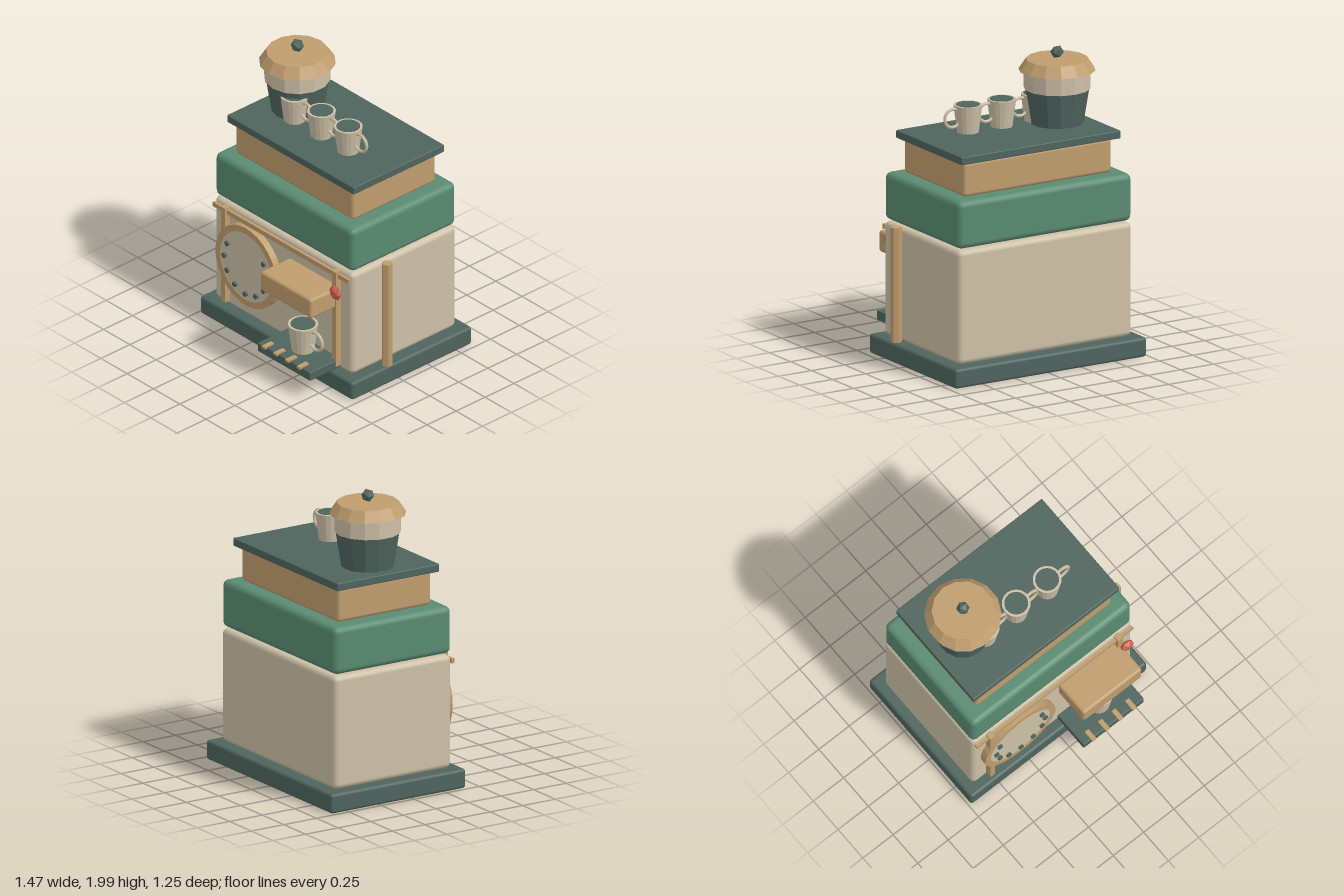
import * as THREE from 'three';
import { RoundedBoxGeometry } from 'three/addons/geometries/RoundedBoxGeometry.js';
import { toCreasedNormals } from 'three/addons/utils/BufferGeometryUtils.js';

const paint = (name, color) => {
  const m = new THREE.MeshStandardMaterial({ color });
  m.name = name;
  return m;
};

export function createModel() {
  const slate = paint('slate', 0x4f645e);
  const cream = paint('cream', 0xcdc0a7);
  const tan = paint('tan', 0xbf9d6e);
  const green = paint('green', 0x5a8a72);
  const red = paint('red', 0xcf6252);

  const model = new THREE.Group();
  model.name = 'espressoMachine';

  const add = (name, geometry, material, x = 0, y = 0, z = 0, parent = model) => {
    const mesh = new THREE.Mesh(geometry, material);
    mesh.name = name;
    mesh.position.set(x, y, z);
    parent.add(mesh);
    return mesh;
  };
  // Box given by its limits; r > 0 rounds the edges
  const block = (name, material, [x0, x1], [y0, y1], [z0, z1], r = 0) => {
    const size = [x1 - x0, y1 - y0, z1 - z0];
    const geometry = r ? new RoundedBoxGeometry(...size, 2, r) : new THREE.BoxGeometry(...size);
    return add(name, geometry, material, (x0 + x1) / 2, (y0 + y1) / 2, (z0 + z1) / 2);
  };
  const faceted = (top, bottom, height, sides) =>
    toCreasedNormals(new THREE.CylinderGeometry(top, bottom, height, sides), 0.1);

  // Stacked housing
  block('base', slate, [-0.735, 0.715], [0, 0.13], [-0.625, 0.41], 0.02);
  block('body', cream, [-0.67, 0.645], [0.13, 0.885], [-0.555, 0.345], 0.035);
  block('upperBody', green, [-0.67, 0.645], [0.895, 1.21], [-0.555, 0.345], 0.04);
  block('woodCrown', tan, [-0.57, 0.55], [1.21, 1.44], [-0.465, 0.255], 0.025);
  block('cupShelf', slate, [-0.615, 0.59], [1.437, 1.49], [-0.5, 0.285], 0.007);

  // Front frame
  for (const x of [-0.54, 0.515])
    block('framePost', tan, [x - 0.02, x + 0.02], [0.165, 0.87], [0.338, 0.387]);
  block('frameRail', tan, [-0.655, 0.635], [0.822, 0.855], [0.351, 0.371]);

  // Dial with bezel and markers
  const dial = new THREE.Group();
  dial.name = 'dial';
  dial.position.set(-0.315, 0.53, 0);
  model.add(dial);
  const bezelShape = new THREE.Shape().absarc(0, 0, 0.29, 0, Math.PI * 2);
  bezelShape.holes.push(new THREE.Path().absarc(0, 0, 0.245, 0, Math.PI * 2, true));
  const bezel = new THREE.ExtrudeGeometry(bezelShape, { depth: 0.06, bevelEnabled: false, curveSegments: 16 });
  add('dialBezel', bezel, tan, 0, 0, 0.333, dial);
  const face = new THREE.CylinderGeometry(0.25, 0.25, 0.055, 32).rotateX(Math.PI / 2);
  add('dialFace', face, cream, 0, 0, 0.363, dial);
  const marker = faceted(0.019, 0.019, 0.02, 6).rotateX(Math.PI / 2);
  for (let i = 0; i < 9; i++) {
    const a = Math.PI * (5 / 6 + i / 6);
    add('dialMarker', marker, slate, 0.2 * Math.cos(a), 0.2 * Math.sin(a), 0.397, dial);
  }

  // Brew head, knob and side wand
  block('brewHead', tan, [0.04, 0.525], [0.6, 0.745], [0.33, 0.595], 0.02);
  const knob = add('steamKnob', new THREE.IcosahedronGeometry(0.054), red, 0.55, 0.737, 0.407);
  knob.scale.z = 0.55;
  add('steamWand', faceted(0.036, 0.036, 0.76, 6), tan, 0.705, 0.525, 0.1);

  // Drip tray with slats
  block('dripTray', slate, [0.03, 0.53], [0.145, 0.21], [0.33, 0.607], 0.008);
  for (let i = 0; i < 4; i++) {
    const x = 0.105 + i * 0.111;
    block('dripSlat', tan, [x - 0.016, x + 0.016], [0.204, 0.22], [0.545, 0.625]);
  }

  // Bean hopper: profile of three faceted tiers and a knob
  const hopper = new THREE.Group();
  hopper.name = 'hopper';
  hopper.position.set(-0.38, 0, -0.11);
  model.add(hopper);
  const tiers = [
    ['hopperPot', slate, 0.207, 0.17, 1.488, 1.72],
    ['hopperCollar', cream, 0.215, 0.215, 1.72, 1.845],
    ['hopperLid', tan, 0.2, 0.248, 1.84, 1.912],
  ];
  for (const [name, material, top, bottom, y0, y1] of tiers)
    add(name, faceted(top, bottom, y1 - y0, 14), material, 0, (y0 + y1) / 2, 0, hopper);
  add('lidKnob', new THREE.IcosahedronGeometry(0.044), slate, 0, 1.956, 0, hopper);

  // Cups: wall, drink surface and ring handle
  const wall = faceted(0.093, 0.07, 0.183, 18);
  const drink = new THREE.CylinderGeometry(0.077, 0.077, 0.004, 18);
  const handle = new THREE.TorusGeometry(0.06, 0.011, 6, 24);
  const addCup = (x, y, z, scale) => {
    const cup = new THREE.Group();
    cup.name = 'cup';
    cup.position.set(x, y, z);
    cup.scale.setScalar(scale);
    model.add(cup);
    add('cupWall', wall, cream, 0, 0.0915, 0, cup);
    add('drink', drink, slate, 0, 0.183, 0, cup);
    add('cupHandle', handle, cream, 0.115, 0.107, 0, cup);
  };
  for (const x of [-0.285, -0.03, 0.225]) addCup(x, 1.489, 0, 1);
  addCup(0.285, 0.209, 0.445, 1.05);

  return model;
}
